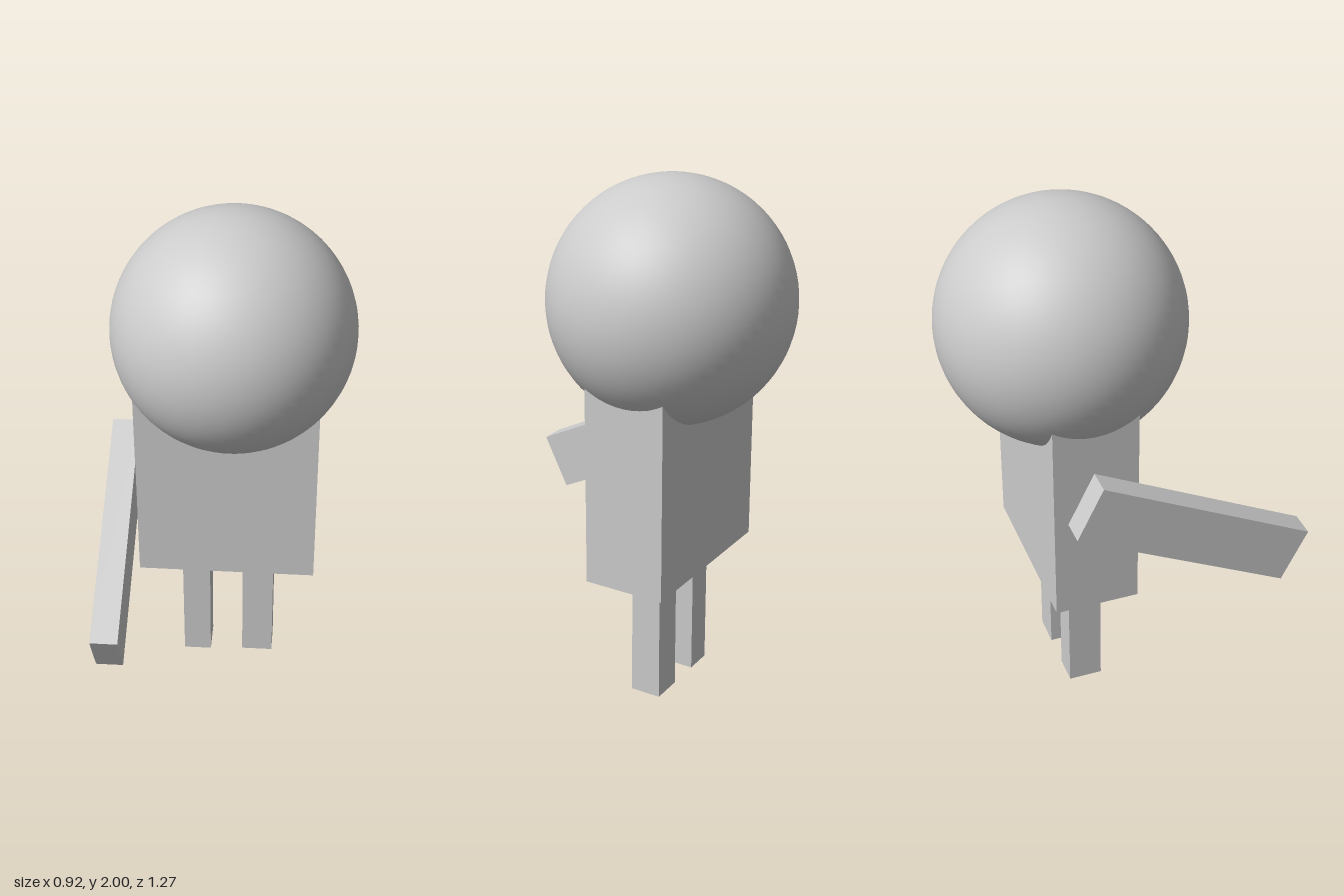
import * as THREE from 'three';

export function createModel() {
  const group = new THREE.Group();
  const material = new THREE.MeshStandardMaterial({ color: 0xcccccc });

  const add = (name, geometry, x, y, z) => {
    const mesh = new THREE.Mesh(geometry, material);
    mesh.name = name;
    mesh.position.set(x, y, z);
    group.add(mesh);
    return mesh;
  };

  // Box given by its extents on each axis
  const addBox = (name, [x0, x1], [y0, y1], [z0, z1]) =>
    add(name, new THREE.BoxGeometry(x1 - x0, y1 - y0, z1 - z0),
      (x0 + x1) / 2, (y0 + y1) / 2, (z0 + z1) / 2);

  // Large round head, sunk into the torso
  add('head', new THREE.SphereGeometry(0.454, 64, 40), 0, 1.546, -0.179);

  // Torso, its top hidden inside the head
  addBox('torso', [-0.363, 0.328], [0.514, 1.4], [-0.335, -0.015]);

  // Legs
  addBox('rightLeg', [-0.2, -0.09], [0, 0.514], [-0.235, -0.105]);
  addBox('leftLeg', [0.042, 0.166], [0, 0.514], [-0.235, -0.115]);

  // Single arm on the right side, reaching forward and down
  const arm = add('rightArm', new THREE.BoxGeometry(0.101, 0.224, 0.911), -0.413, 0.816, 0.175);
  arm.rotation.x = 0.46;

  return group;
}
